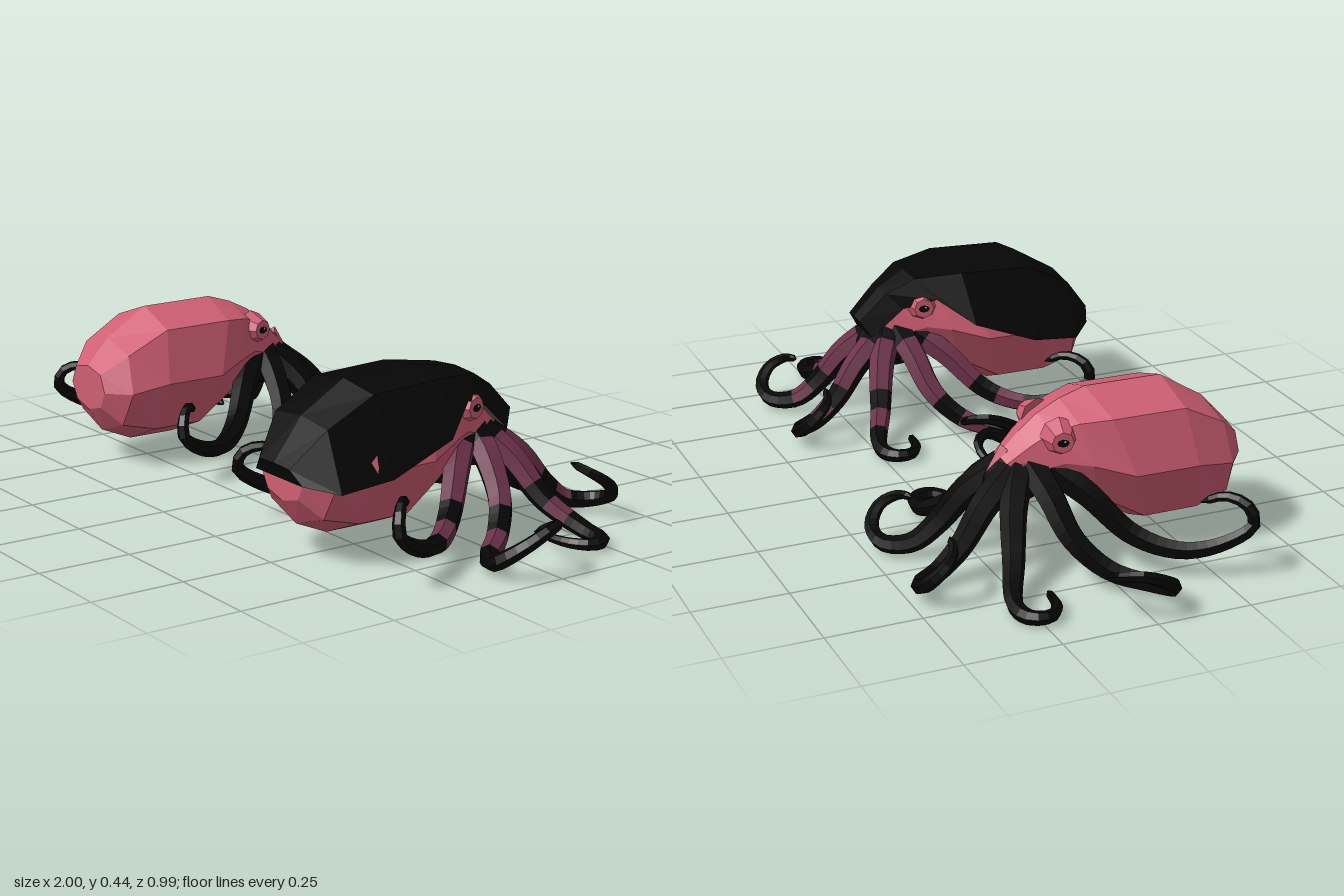
import * as THREE from 'three';

const V = (x, y, z) => new THREE.Vector3(x, y, z);
const paint = (name, color) => {
  const m = new THREE.MeshStandardMaterial({ color, side: THREE.DoubleSide });
  m.name = name;
  return m;
};
const facet = geometry => {
  const g = geometry.toNonIndexed();
  g.computeVertexNormals();
  return g;
};

// Faceted skin through a list of cross-sections running from +z to -z
function loft(rings, closed) {
  const pos = [], idx = [], n = rings[0].length, last = rings.length - 1;
  rings.forEach(r => r.forEach(p => pos.push(p.x, p.y, p.z)));
  for (let j = 0; j < last; j++) {
    for (let i = 0; i < (closed ? n : n - 1); i++) {
      const k = (i + 1) % n, a = j * n + i, b = j * n + k, c = a + n, d = b + n;
      idx.push(a, b, d, a, d, c);
    }
  }
  // End caps
  for (let i = 1; i < n - 1; i++) {
    idx.push(0, i + 1, i);
    idx.push(last * n, last * n + i, last * n + i + 1);
  }
  const g = new THREE.BufferGeometry();
  g.setAttribute('position', new THREE.Float32BufferAttribute(pos, 3));
  g.setIndex(idx);
  return facet(g);
}

// Tapered six-sided arm; bands of its upper faces take the second material
function armGeometry(points, banded) {
  const N = 30, S = 6, R = 0.01;
  const curve = new THREE.CatmullRomCurve3(points);
  const tube = new THREE.TubeGeometry(curve, N, R, S);
  const p = tube.attributes.position, v = V(0, 0, 0);
  const ny = [];
  for (let j = 0; j <= N; j++) {
    const t = j / N, c = curve.getPointAt(t);
    const radius = j === N ? 0.002 : 0.041 - 0.031 * t;
    for (let i = 0; i <= S; i++) {
      const k = j * (S + 1) + i;
      v.fromBufferAttribute(p, k).sub(c);
      ny.push(v.y / R);
      v.multiplyScalar(radius / R).add(c);
      p.setXYZ(k, v.x, v.y, v.z);
    }
  }
  tube.clearGroups();
  for (let j = 0; j < N; j++) {
    for (let i = 0; i < S; i++) {
      const k = j * (S + 1) + i;
      const up = ny[k] + ny[k + 1] > -0.3;
      const inBand = (j > 1 && j < 9) || (j > 11 && j < 15);
      tube.addGroup((j * S + i) * 6, 6, banded && up && inBand ? 1 : 0);
    }
  }
  return facet(tube);
}

// Mantle and head sections: top z, top y, bottom z, bottom y, half width
const BODY = [
  [0.425, 0.29, 0.425, 0.165, 0.09],
  [0.36, 0.36, 0.385, 0.10, 0.155],
  [0.24, 0.435, 0.295, 0.062, 0.175],
  [0.03, 0.437, 0.16, 0.062, 0.175],
  [-0.04, 0.415, 0.03, 0.14, 0.135],
  [-0.1, 0.385, -0.03, 0.18, 0.1],
  [-0.15, 0.345, -0.08, 0.19, 0.08],
  [-0.205, 0.29, -0.15, 0.2, 0.055],
];
const BODY_ARC = [[0, 1], [0.75, 0.88], [1, 0.5], [0.72, 0.14], [0, 0], [-0.72, 0.14], [-1, 0.5], [-0.75, 0.88]];

// Hood sections: top z, top y, edge z, edge y, half width
const HOOD = [
  [0.45, 0.265, 0.435, 0.225, 0.1],
  [0.37, 0.37, 0.37, 0.21, 0.17],
  [0.245, 0.445, 0.23, 0.23, 0.19],
  [0.03, 0.45, 0.05, 0.30, 0.185],
  [-0.1, 0.43, -0.045, 0.37, 0.125],
  [-0.175, 0.385, -0.13, 0.34, 0.08],
  [-0.25, 0.31, -0.22, 0.26, 0.065],
];
const HOOD_ARC = [[-1, 0], [-0.65, 0.92], [0, 1], [0.65, 0.92], [1, 0]];

// Arm centre lines for the left side, mirrored for the right
const ARMS = {
  rearArm: [[.025, .25, -.18], [.055, .185, -.265], [.075, .1, -.335], [.088, .05, -.4], [.125, .045, -.465],
    [.185, .07, -.472], [.21, .11, -.44], [.185, .14, -.4], [.125, .155, -.385]],
  rearSideArm: [[.03, .255, -.16], [.1, .195, -.205], [.19, .095, -.245], [.3, .035, -.29], [.37, .032, -.28],
    [.382, .032, -.235], [.345, .032, -.2], [.26, .032, -.185]],
  sideArm: [[.04, .26, -.13], [.12, .21, -.115], [.2, .125, -.09], [.27, .06, -.025], [.33, .04, .05],
    [.395, .05, .078], [.455, .095, .045], [.47, .135, -.03], [.43, .125, -.075], [.36, .09, -.068]],
  frontArm: [[.045, .26, -.09], [.12, .2, -.015], [.2, .11, .07], [.275, .08, .165], [.32, .1, .26],
    [.345, .15, .33], [.33, .195, .32], [.29, .212, .28], [.245, .185, .235]],
};

export function createModel() {
  const pink = paint('pink skin', 0xd05f74);
  const black = paint('black skin', 0x060606);
  const plum = paint('plum bands', 0x6b3149);
  const pale = paint('eye glint', 0xc9b8b8);
  const model = new THREE.Group();

  function octopus(name, x, z, hooded) {
    const g = new THREE.Group();
    g.name = name;
    g.position.set(x, 0, z);
    const add = (part, geometry, material, parent = g) => {
      const m = new THREE.Mesh(geometry, material);
      m.name = part;
      parent.add(m);
      return m;
    };

    // Mantle and head in one eight-sided loft
    add('mantleAndHead', loft(BODY.map(([tz, ty, bz, by, w]) =>
      BODY_ARC.map(([u, t]) => V(u * w, by + (ty - by) * t, bz + (tz - bz) * t))), true), pink);

    // Crown where the arms meet
    const crown = add('armCrown', new THREE.IcosahedronGeometry(1, 1), black);
    crown.scale.set(0.072, 0.065, 0.085);
    crown.position.set(0, 0.222, -0.16);

    for (const s of [1, -1]) {
      const side = s > 0 ? 'left' : 'right';
      for (const [part, pts] of Object.entries(ARMS)) {
        const curve = pts.map(p => V(s * p[0], p[1], p[2]));
        add(side + ' ' + part, armGeometry(curve, hooded), [black, plum]);
      }

      // Angular raised eye with a dark slit and a glint
      const eye = new THREE.Group();
      eye.name = side + ' eye';
      eye.position.set(s * 0.09, 0.345, -0.075);
      eye.rotation.y = s * (Math.PI / 2 + 0.2);
      g.add(eye);
      const lid = facet(new THREE.CylinderGeometry(0.028, 0.05, 0.05, 8).rotateX(Math.PI / 2));
      add('eyelid', lid, pink, eye);
      const pupil = add('pupil', new THREE.CircleGeometry(0.016, 8), black, eye);
      pupil.scale.y = 0.65;
      pupil.position.z = 0.0265;
      add('glint', new THREE.CircleGeometry(0.003, 6), pale, eye).position.set(0.004, 0.004, 0.028);
    }

    if (hooded) {
      // Dark hood over the upper mantle and head
      add('hood', loft(HOOD.map(([tz, ty, ez, ey, w]) =>
        HOOD_ARC.map(([u, t]) => V(u * w, ey + (ty - ey) * t, ez + (tz - ez) * t))), false), black);
    } else {
      // Jagged skin edge reaching onto the arms
      for (let i = -2; i <= 2; i++) {
        const m = add('skinSpike', facet(new THREE.ConeGeometry(0.018, 0.08, 4)), pink);
        m.position.set(i * 0.028, 0.277 - Math.abs(i) * 0.006, -0.212 + Math.abs(i) * 0.022);
        m.quaternion.setFromUnitVectors(V(0, 1, 0), V(i * 0.3, -0.75, -0.7).normalize());
      }
    }
    model.add(g);
  }

  octopus('plainOctopus', -0.515, 0, false);
  octopus('hoodedOctopus', 0.508, 0.045, true);
  return model;
}
